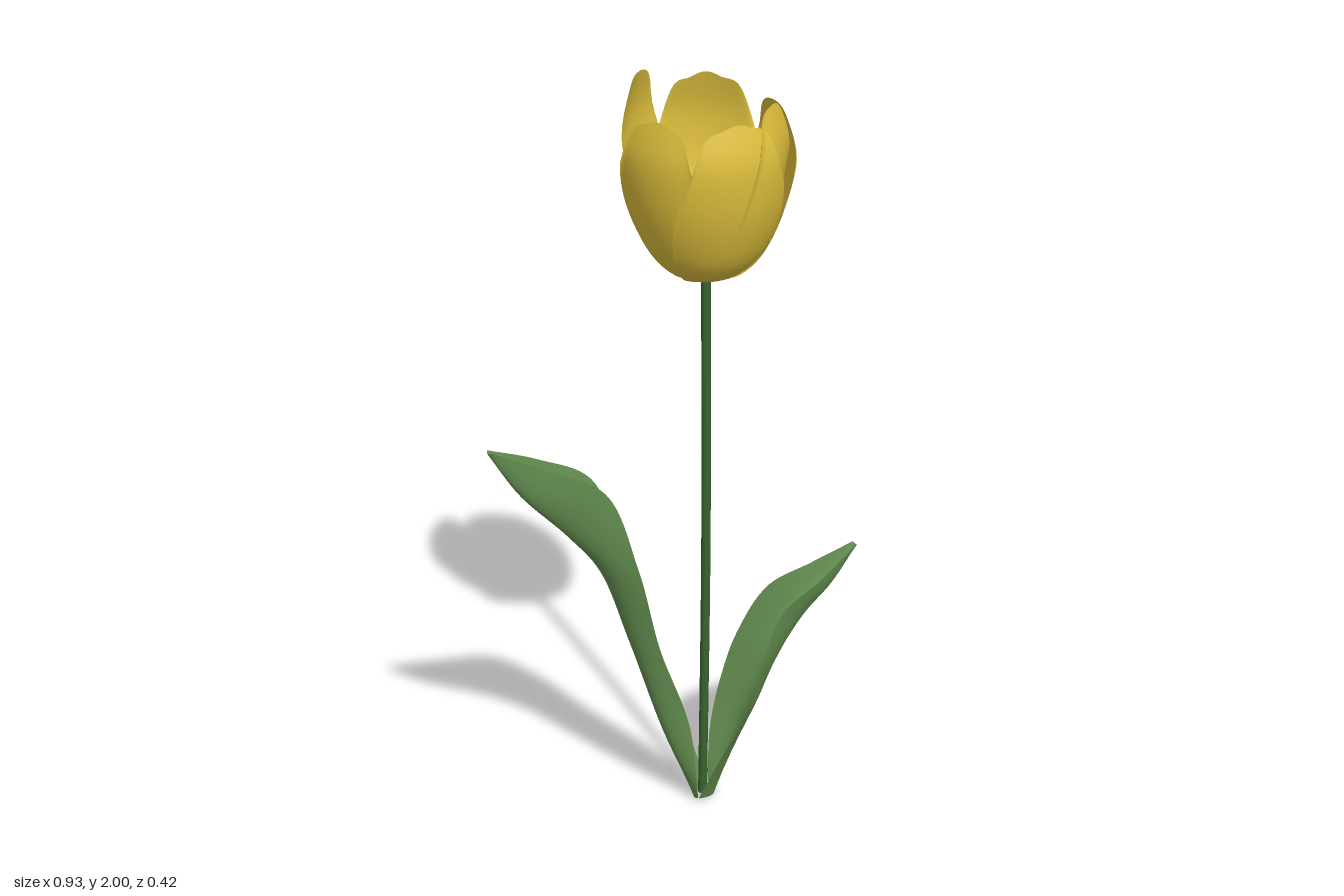
import * as THREE from 'three';
import { ParametricGeometry } from 'three/addons/geometries/ParametricGeometry.js';

const material = (color) => new THREE.MeshStandardMaterial({ color, side: THREE.DoubleSide });

const CENTRE_X = 0.09; // axis of the blossom
const CUP_BASE = 1.515;

// Cup outline: radius against share of the petal height
const cup = new THREE.SplineCurve([
  [0.03, 0], [0.085, 0.02], [0.135, 0.14], [0.172, 0.33],
  [0.195, 0.55], [0.2, 0.78], [0.176, 1],
].map(([r, h]) => new THREE.Vector2(r, h)));

function surface(name, fn, across, along, mat) {
  const geometry = new ParametricGeometry(fn, across, along);
  geometry.computeVertexNormals();
  const mesh = new THREE.Mesh(geometry, mat);
  mesh.name = name;
  return mesh;
}

// A petal wraps part of the cup, with a domed, gently waved top and flared edges
function petal(name, { angle: degrees, height, scale, width, wave }, mat) {
  const middle = THREE.MathUtils.degToRad(degrees);
  const p = new THREE.Vector2();
  return surface(name, (a, v, out) => {
    const u = a * 2 - 1;
    const s = v * (1 - 0.09 * u * u - 0.11 * u ** 4) - wave * v ** 4 * (1 - Math.cos(u * 9));
    cup.getPoint(s, p);
    const halfWidth = 0.025 + width * Math.sin(Math.PI * 0.72 * v);
    const angle = middle + u * halfWidth / Math.max(p.x, 0.03);
    const r = p.x * scale + v * (0.014 * u * u + 0.005 * u);
    out.set(CENTRE_X + r * Math.cos(angle), CUP_BASE + p.y * height, r * Math.sin(angle));
  }, 24, 28, mat);
}

// A leaf is a channelled blade spanned between its midrib and two edges
function leaf(name, midrib, backEdge, frontEdge, mat) {
  const [mid, back, front] = [midrib, backEdge, frontEdge].map((points) =>
    new THREE.CatmullRomCurve3(points.map((p) => new THREE.Vector3(...p))));
  const m = new THREE.Vector3(), b = new THREE.Vector3(), f = new THREE.Vector3();
  return surface(name, (u, v, out) => {
    mid.getPoint(v, m);
    back.getPoint(v, b);
    front.getPoint(v, f);
    out.set(0, 0, 0)
      .addScaledVector(b, (1 - u) * (1 - 2 * u))
      .addScaledVector(m, 4 * u * (1 - u))
      .addScaledVector(f, u * (2 * u - 1));
  }, 14, 48, mat);
}

export function createModel() {
  const model = new THREE.Group();
  model.name = 'flower';
  const yellow = material(0xdfc03d);
  const green = material(0x669152);
  const darkGreen = material(0x38632f);

  // Stem
  const stemPath = new THREE.CatmullRomCurve3([
    new THREE.Vector3(0.095, 0.01, 0),
    new THREE.Vector3(0.1, 0.75, 0),
    new THREE.Vector3(0.095, 1.54, 0),
  ]);
  const stem = new THREE.Mesh(new THREE.TubeGeometry(stemPath, 24, 0.012, 12), darkGreen);
  stem.name = 'stem';
  model.add(stem);

  // Dark seat the petals grow from
  const receptacle = new THREE.Mesh(new THREE.SphereGeometry(0.05, 24, 12), material(0x4a4f4a));
  receptacle.name = 'receptacle';
  receptacle.scale.y = 0.35;
  receptacle.position.set(CENTRE_X, CUP_BASE + 0.025, 0);
  model.add(receptacle);

  // Blossom: three outer petals around three inner ones
  const blossom = new THREE.Group();
  blossom.name = 'blossom';
  [
    { angle: 229, height: 0.485, scale: 0.97, width: 0.125, wave: 0 },
    { angle: 95, height: 0.425, scale: 1.01, width: 0.122, wave: 0.008 },
    { angle: 10, height: 0.415, scale: 1.02, width: 0.12, wave: 0 },
  ].forEach((shape, i) => blossom.add(petal(`outerPetal${i + 1}`, shape, yellow)));
  [
    { angle: 300, height: 0.455, scale: 0.95, width: 0.125, wave: 0.012 },
    { angle: 54, height: 0.445, scale: 0.96, width: 0.1, wave: 0 },
    { angle: 160, height: 0.42, scale: 0.95, width: 0.115, wave: 0.008 },
  ].forEach((shape, i) => blossom.add(petal(`innerPetal${i + 1}`, shape, yellow)));
  model.add(blossom);

  // Long leaf, bending out to the right
  model.add(leaf('longLeaf',
    [[0.075, 0.002, -0.01], [-0.015, 0.22, -0.015], [-0.11, 0.52, -0.03], [-0.185, 0.74, -0.045],
      [-0.265, 0.85, -0.06], [-0.385, 0.985, -0.078], [-0.465, 1.115, -0.09]],
    [[0.12, 0.02, -0.027], [0.06, 0.26, -0.075], [-0.01, 0.5, -0.12], [-0.07, 0.75, -0.15],
      [-0.155, 0.95, -0.145], [-0.31, 1.05, -0.122], [-0.46, 1.12, -0.1]],
    [[0.06, 0.02, 0.038], [0.035, 0.25, 0.035], [-0.06, 0.52, 0.045], [-0.13, 0.78, 0.06],
      [-0.2, 0.99, 0.022], [-0.33, 1.06, -0.035], [-0.46, 1.12, -0.08]],
    green));

  // Short leaf, bending out to the left and forward
  model.add(leaf('shortLeaf',
    [[0.125, 0.002, 0.01], [0.172, 0.16, 0.03], [0.217, 0.34, 0.07], [0.258, 0.46, 0.1],
      [0.325, 0.57, 0.125], [0.395, 0.645, 0.14], [0.463, 0.74, 0.15]],
    [[0.125, 0.02, -0.027], [0.13, 0.2, -0.022], [0.15, 0.36, 0], [0.18, 0.5, 0.03],
      [0.25, 0.635, 0.065], [0.355, 0.69, 0.1], [0.46, 0.746, 0.14]],
    [[0.06, 0.02, 0.04], [0.095, 0.18, 0.105], [0.13, 0.34, 0.175], [0.15, 0.49, 0.208],
      [0.205, 0.62, 0.203], [0.34, 0.685, 0.182], [0.46, 0.746, 0.16]],
    green));

  return model;
}
